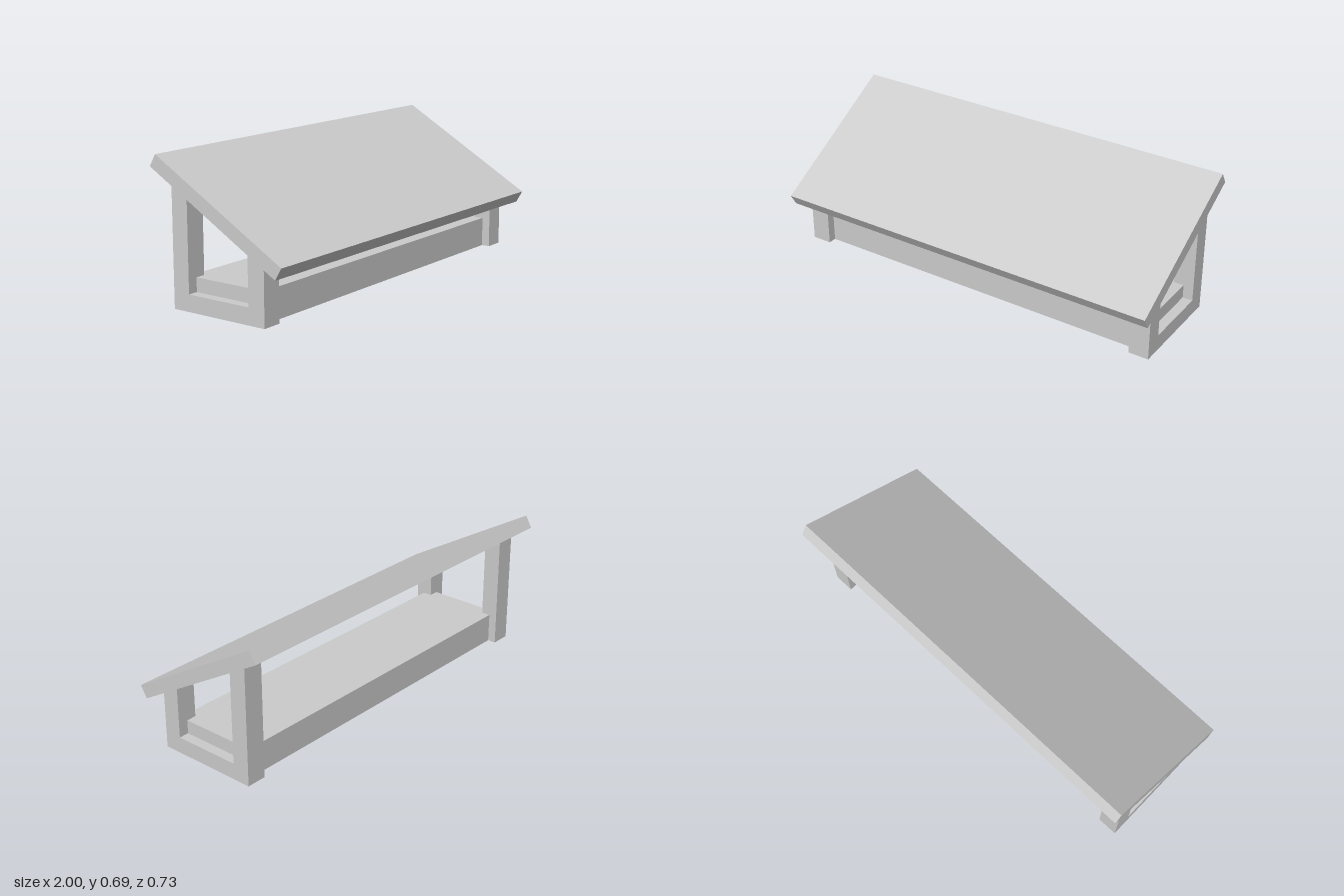
import * as THREE from 'three';

const material = new THREE.MeshStandardMaterial({
  color: 0xcccccc, flatShading: true, side: THREE.DoubleSide,
});

// Extrudes a (z, y) outline along x, centred on x = cx.
function extrudeAlongX(name, outline, width, cx = 0) {
  const shape = new THREE.Shape(outline.map(([z, y]) => new THREE.Vector2(-z, y)));
  const geometry = new THREE.ExtrudeGeometry(shape, { depth: width, bevelEnabled: false });
  geometry.rotateY(Math.PI / 2);
  geometry.translate(cx - width / 2, 0, 0);
  const mesh = new THREE.Mesh(geometry, material);
  mesh.name = name;
  return mesh;
}

// Removes the faces lying on the ground, leaving a shell open underneath.
function openBottom(mesh) {
  const p = mesh.geometry.toNonIndexed?.call && mesh.geometry.index
    ? mesh.geometry.toNonIndexed().attributes.position
    : mesh.geometry.attributes.position;
  const kept = [];
  for (let i = 0; i < p.count; i += 3) {
    const corners = [i, i + 1, i + 2];
    if (corners.every((k) => Math.abs(p.getY(k)) < 1e-5)) continue;
    for (const k of corners) kept.push(p.getX(k), p.getY(k), p.getZ(k));
  }
  const geometry = new THREE.BufferGeometry();
  geometry.setAttribute('position', new THREE.Float32BufferAttribute(kept, 3));
  geometry.computeVertexNormals();
  mesh.geometry = geometry;
  return mesh;
}

export function createModel() {
  const model = new THREE.Group();
  model.name = 'roofedTray';

  // Sloping roof slab
  model.add(extrudeAlongX('roof',
    [[0.366, 0.287], [0.333, 0.23], [-0.366, 0.634], [-0.333, 0.691]], 2));

  // U-shaped end frames: short front leg, low crossbar, tall back leg
  const underRoof = (z) => 0.23 + (0.333 - z) * (0.404 / 0.699);
  const frame = [
    [0.247, 0], [-0.269, 0], [-0.269, underRoof(-0.269)], [-0.181, underRoof(-0.181)],
    [-0.181, 0.08], [0.159, 0.08], [0.159, underRoof(0.159)], [0.247, underRoof(0.247)],
  ];
  for (const [name, side] of [['leftEndFrame', 1], ['rightEndFrame', -1]]) {
    model.add(openBottom(extrudeAlongX(name, frame, 0.1, side * 0.92)));
  }

  // Tray platform, hollow underneath, reaching to the middle of each leg
  model.add(openBottom(extrudeAlongX('tray',
    [[0.205, 0], [-0.227, 0], [-0.227, 0.147], [0.205, 0.147]], 1.84)));

  return model;
}
